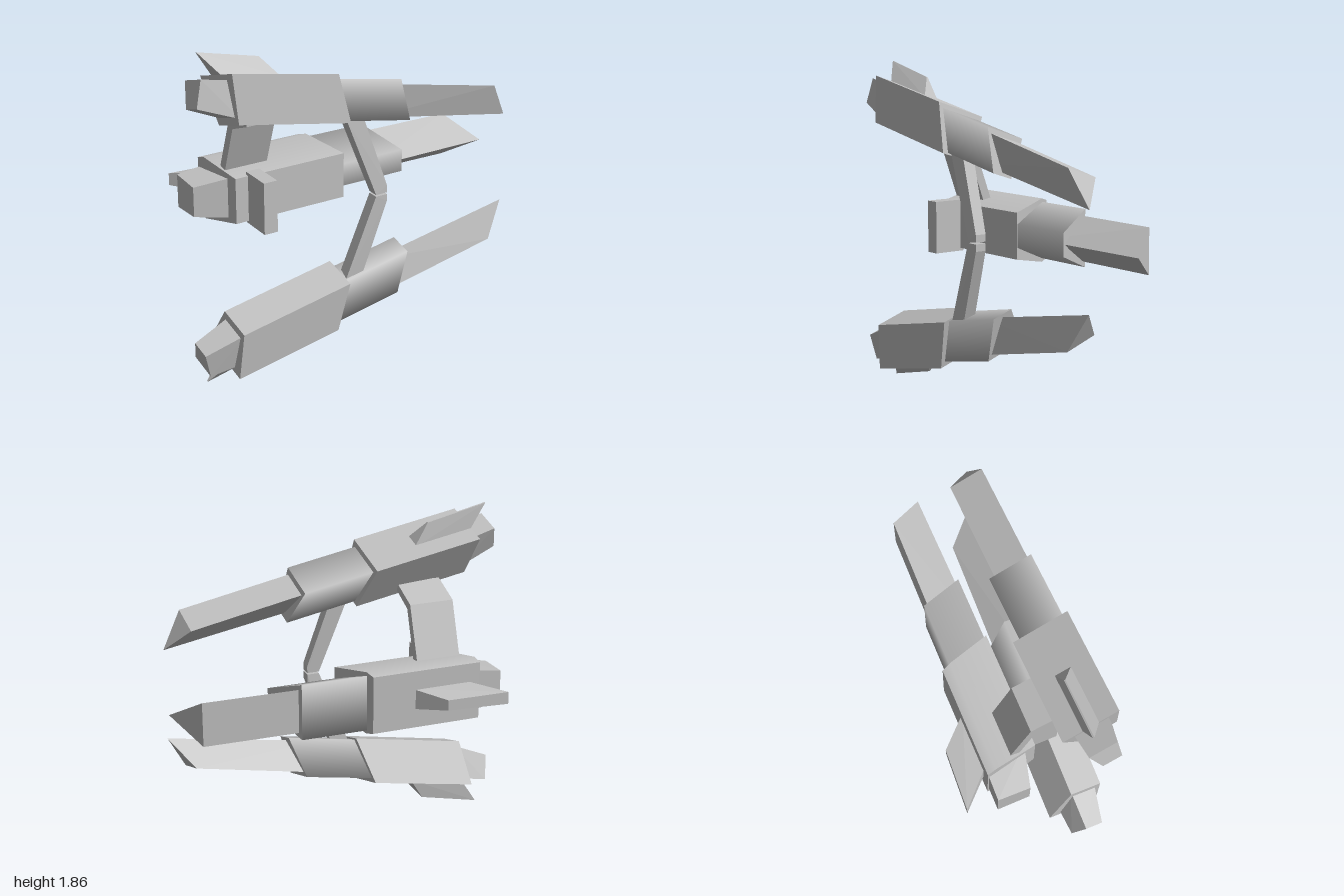
import * as THREE from 'three';
import { ConvexGeometry } from 'three/addons/geometries/ConvexGeometry.js';
import { toCreasedNormals } from 'three/addons/utils/BufferGeometryUtils.js';

const hullGrey = new THREE.MeshStandardMaterial({ color: 0xc0c0c0 });
hullGrey.name = 'hullGrey';

function part(name, geometry) {
  const mesh = new THREE.Mesh(geometry, hullGrey);
  mesh.name = name;
  return mesh;
}

// Convex solid from corner triples
const solid = (corners) => new ConvexGeometry(corners.map((c) => new THREE.Vector3(...c)));

// Solid symmetric about local z: each entry is [along, outward, halfWidth]
function symmetric(profile) {
  const corners = [];
  for (const [a, o, w] of profile) {
    corners.push([a, o, w]);
    if (w > 0) corners.push([a, o, -w]);
  }
  return solid(corners);
}

// Rounded shading around the barrel, leaving its ends flat
function roundShading(geometry, centre) {
  const p = geometry.attributes.position;
  const n = geometry.attributes.normal;
  const v = new THREE.Vector3();
  for (let i = 0; i < p.count; i++) {
    if (Math.abs(n.getX(i)) > 0.5) continue;
    v.set(0, p.getY(i) - centre, p.getZ(i)).normalize();
    n.setXYZ(i, v.x, v.y, v.z);
  }
  return geometry;
}

// Pod along local x, with local y pointing away from the craft's middle
function makePod(name, d) {
  const pod = new THREE.Group();
  pod.name = name;
  pod.add(
    part('body', toCreasedNormals(symmetric(d.body), 0.7)),
    part('barrel', roundShading(symmetric(d.barrel), 0.1)),
    part('prong', symmetric(d.prong)),
    part('tail', symmetric(d.tail)),
    part('fin', symmetric(d.fin)),
  );
  return pod;
}

const backPod = {
  body: [[-0.7, 0.25, 0.165], [-0.69, 0.2, 0.18], [-0.635, -0.05, 0.13],
    [-0.07, 0.25, 0.165], [-0.05, 0.2, 0.18], [0.04, -0.05, 0.13]],
  barrel: [[-0.2, 0.205, 0.16], [-0.2, -0.045, 0.065], [0.32, 0.2, 0.16], [0.43, -0.045, 0.065]],
  prong: [[0.2, 0.18, 0.125], [0.2, -0.035, 0], [0.86, 0.168, 0.125], [0.99, -0.025, 0]],
  tail: [[-0.6, 0.24, 0.125], [-0.6, 0, 0.12], [-0.83, 0.245, 0.095], [-0.83, 0.06, 0.085]],
  fin: [[-0.62, 0.23, 0.06], [-0.3, 0.23, 0.06], [-0.8, 0.41, 0.035], [-0.45, 0.39, 0.03]],
};

const sidePod = {
  body: [[-0.89, 0.25, 0.16], [-0.82, 0, 0.1], [-0.265, 0.25, 0.16], [-0.153, 0, 0.1]],
  barrel: [[-0.4, 0.225, 0.127], [-0.4, 0.01, 0.065], [0.15, 0.225, 0.127], [0.25, 0.01, 0.065]],
  prong: [[0.05, 0.2, 0.1], [0.05, 0.025, 0], [0.8, 0.19, 0.1], [0.945, 0.035, 0]],
  tail: [[-0.8, 0.22, 0.105], [-0.8, 0.03, 0.08], [-1.02, 0.225, 0.08], [-1.03, 0.08, 0.055]],
  fin: [[-0.88, 0.24, 0.05], [-0.54, 0.24, 0.05], [-1.0, 0.36, 0.004], [-0.645, 0.345, 0.004]],
};

export function createModel() {
  const model = new THREE.Group();
  model.name = 'craft';
  const midY = 0.925;

  // Rear pod
  const rear = makePod('rearPod', backPod);
  rear.rotation.x = -Math.PI / 2;
  rear.position.set(0, midY, 0);
  model.add(rear);

  // Upper and lower pods with their front struts, mirrored about the middle height
  const roll = 0.314;
  const pitch = 0.187;
  for (const side of [1, -1]) {
    const label = side > 0 ? 'upper' : 'lower';
    const pod = makePod(label + 'Pod', sidePod);
    pod.rotation.set(side > 0 ? -roll : roll - Math.PI, 0, -side * pitch, 'ZYX');
    pod.position.set(0, midY + side * 0.405, 0.315);
    model.add(pod);

    const strut = [];
    for (const [x, y, near, far] of [[-0.14, 0.46, 0.36, 0.29], [-0.03, 0.44, 0.36, 0.29],
      [0.105, 0.045, 0.38, 0.315], [0.105, 0.005, 0.38, 0.315], [0.035, 0.005, 0.38, 0.315]]) {
      strut.push([x, midY + side * y, near], [x, midY + side * y, far]);
    }
    model.add(part(label + 'Strut', solid(strut)));
  }

  // Bent bridge joining the rear pod to the upper pod, as [y, z] outlines
  const bridge = new THREE.Group();
  bridge.name = 'bridge';
  const slab = (outline) => solid(outline.flatMap(([y, z]) => [[-0.645, y, z], [-0.39, y, z]]));
  bridge.add(
    part('bridgeLower', slab([[1.06, -0.105], [1.06, -0.05], [1.34, 0.05], [1.375, 0.01]])),
    part('bridgeUpper', slab([[1.375, 0.01], [1.34, 0.05], [1.4, 0.2], [1.445, 0.2]])),
  );
  model.add(bridge);

  // Upright plate on the inner face of the rear pod
  const plate = part('innerPlate', new THREE.BoxGeometry(0.08, 0.295, 0.19));
  plate.position.set(-0.52, 0.927, 0.125);
  model.add(plate);

  return model;
}
